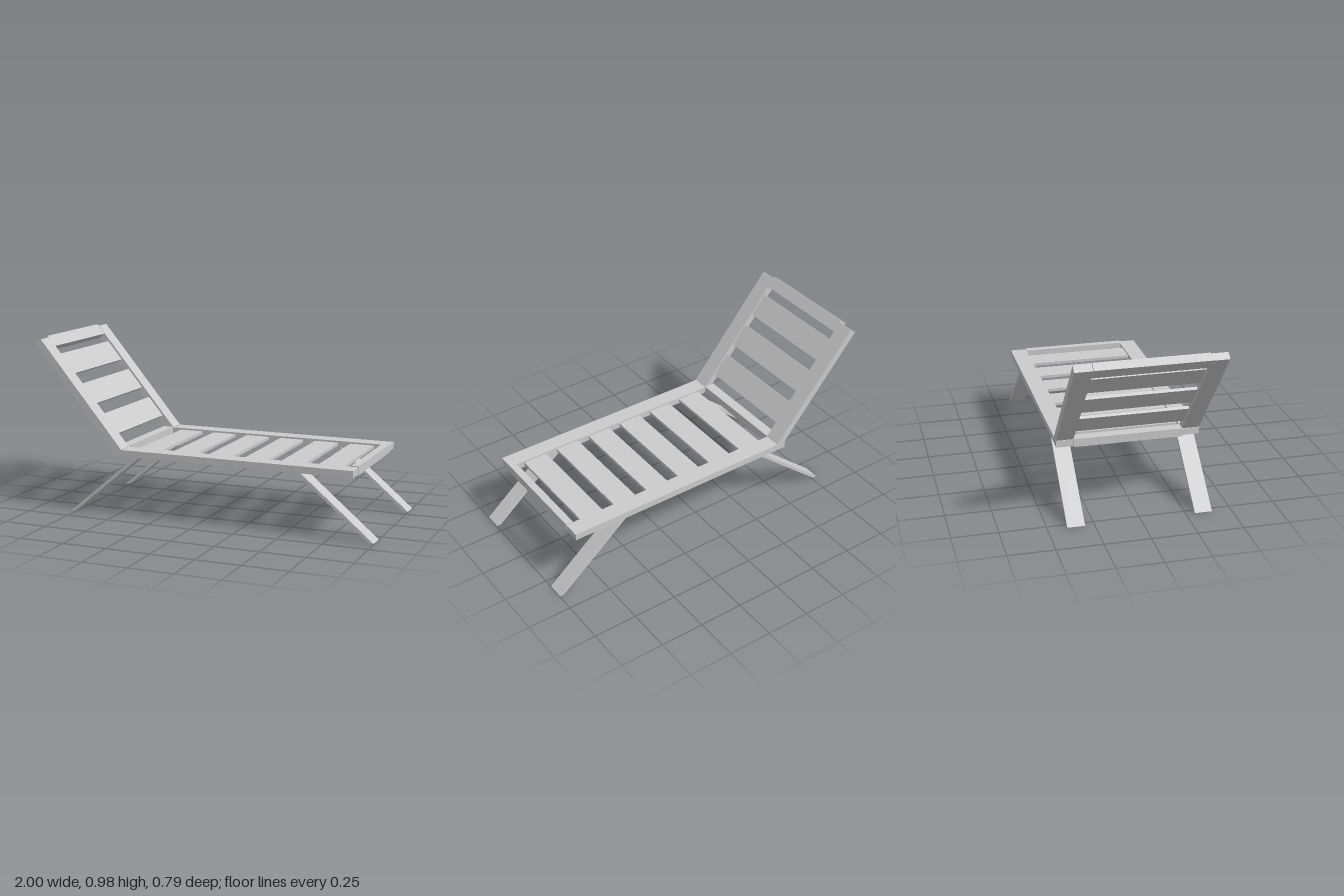
import * as THREE from 'three';

const material = new THREE.MeshStandardMaterial({ color: 0xcccccc, flatShading: true });

// Box given by its extents along each axis
function bar(parent, name, [x0, x1], [y0, y1], [z0, z1]) {
  const mesh = new THREE.Mesh(new THREE.BoxGeometry(x1 - x0, y1 - y0, z1 - z0), material);
  mesh.position.set((x0 + x1) / 2, (y0 + y1) / 2, (z0 + z1) / 2);
  mesh.name = name;
  parent.add(mesh);
}

// Slanted leg with level ends
function leg(parent, name, topX, footX, z0) {
  const w = 0.026, h = 0.342;
  const shape = new THREE.Shape([
    new THREE.Vector2(footX, 0), new THREE.Vector2(footX + w, 0),
    new THREE.Vector2(topX + w, h), new THREE.Vector2(topX, h),
  ]);
  const mesh = new THREE.Mesh(
    new THREE.ExtrudeGeometry(shape, { depth: 0.095, bevelEnabled: false }), material);
  mesh.position.z = z0;
  mesh.name = name;
  parent.add(mesh);
}

export function createModel() {
  const model = new THREE.Group();
  model.name = 'sunLounger';
  const sides = [['left', [-0.395, -0.3]], ['right', [0.3, 0.395]]];
  const inner = [-0.3, 0.3];
  const slatWidth = 0.14, slatPitch = 0.212;

  // Flat seat frame and slats
  const seat = new THREE.Group();
  seat.name = 'seat';
  bar(seat, 'footCrossbar', [0.84, 0.882], [0.336, 0.383], inner);
  bar(seat, 'hingeCrossbar', [-0.525, -0.465], [0.335, 0.381], inner);
  for (let i = 0; i < 6; i++) {
    const x = -0.41 + i * slatPitch;
    bar(seat, 'seatSlat', [x, x + slatWidth], [0.351, 0.368], inner);
  }

  // Reclined back: local x runs down the slope, local y faces the sitter
  const back = new THREE.Group();
  back.name = 'backrest';
  back.position.set(-0.955, 0.972, 0);
  back.rotation.z = -0.877;
  bar(back, 'headCrossbar', [-0.0125, 0.06], [-0.048, -0.002], inner);
  for (let i = 0; i < 3; i++) {
    const x = 0.11 + i * slatPitch;
    bar(back, 'backSlat', [x, x + slatWidth], [-0.0285, -0.0115], inner);
  }

  // Rails and legs on both sides
  for (const [side, z] of sides) {
    bar(seat, side + 'SeatRail', [-0.52, 0.88], [0.34, 0.378], z);
    bar(back, side + 'BackRail', [0, 0.77], [-0.042, 0], z);
    leg(model, side + 'FootLeg', 0.565, 0.972, z[0]);
    leg(model, side + 'HeadLeg', -0.378, -0.785, z[0]);
  }
  model.add(seat, back);
  return model;
}
